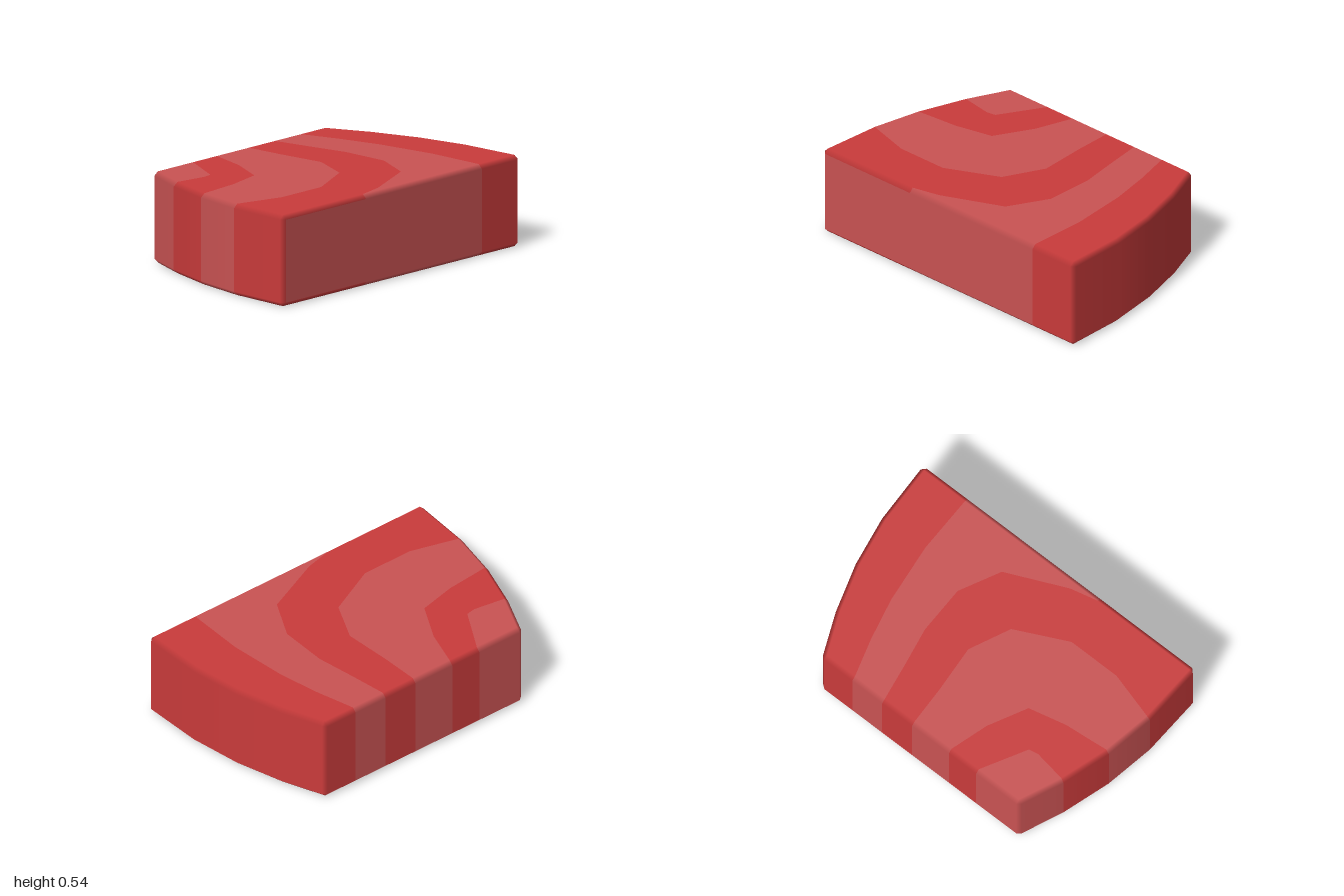
import * as THREE from 'three';

const HEIGHT = 0.54, BEVEL = 0.025;

export function createModel() {
  const group = new THREE.Group();
  group.name = 'filletSlice';
  const flesh = new THREE.MeshStandardMaterial({ color: 0xca3b3b });
  flesh.name = 'red flesh';
  const marbling = new THREE.MeshStandardMaterial({ color: 0xca5353 });
  marbling.name = 'pale marbling';

  const addMesh = (name, geometry, material) => {
    const mesh = new THREE.Mesh(geometry, material);
    mesh.name = name;
    group.add(mesh);
  };

  // Outline in plan (x, z): curved back, straight right, curved front, straight left
  const arc = [[-0.62, 0.73], [-0.37, 0.837], [-0.07, 0.93], [0.24, 0.985], [0.615, 1]];
  const back = arc.map(([x, z]) => [x, -z]);
  const right = [-0.975, -0.675, 0.3, 0.975].map((z) => [0.64, z]);
  const front = [...arc].reverse();
  const left = [0.705, 0.41, 0.21, -0.06, -0.28, -0.5, -0.705].map((z) => [-0.64, z]);

  // Each outline point carries its outward normal and its bevel-inset position
  const ring = [];
  for (const side of [back, right, front, left]) {
    side.forEach(([x, z], i) => {
      const a = side[Math.max(i - 1, 0)], b = side[Math.min(i + 1, side.length - 1)];
      const dx = b[0] - a[0], dz = b[1] - a[1], len = Math.hypot(dx, dz);
      const nx = dz / len, nz = -dx / len;
      ring.push({ x, z, nx, nz, inset: [x - nx * BEVEL, z - nz * BEVEL] });
    });
  }

  // Walls and bevels, one strip per outline segment, sorted by colour
  const paleWalls = [6, 7, 10, 12, 13, 14, 16, 18];
  const strips = { flesh: { pos: [], nor: [] }, marbling: { pos: [], nor: [] } };
  const levels = [
    (p) => [[p.inset[0], 0, p.inset[1]], [0, -1, 0]],
    (p) => [[p.x, BEVEL, p.z], [p.nx, 0, p.nz]],
    (p) => [[p.x, HEIGHT - BEVEL, p.z], [p.nx, 0, p.nz]],
    (p) => [[p.inset[0], HEIGHT, p.inset[1]], [0, 1, 0]],
  ];
  ring.forEach((p, i) => {
    const q = ring[(i + 1) % ring.length];
    for (let k = 0; k < 3; k++) {
      const pale = paleWalls.includes(i) && !(i === 7 && k !== 1);
      const out = pale ? strips.marbling : strips.flesh;
      const lo = levels[k], hi = levels[k + 1];
      for (const [pos, nor] of [lo(p), hi(p), hi(q), lo(p), hi(q), lo(q)]) {
        out.pos.push(...pos);
        out.nor.push(...nor);
      }
    }
  });
  const stripGeometry = ({ pos, nor }) => {
    const g = new THREE.BufferGeometry();
    g.setAttribute('position', new THREE.Float32BufferAttribute(pos, 3));
    g.setAttribute('normal', new THREE.Float32BufferAttribute(nor, 3));
    return g;
  };
  addMesh('fleshSides', stripGeometry(strips.flesh), flesh);
  addMesh('marblingSides', stripGeometry(strips.marbling), marbling);

  // Inner points of the grain lines, each starting at the left edge
  const A = [[-0.38, -0.57], [-0.12, -0.63], [0.25, -0.675]];
  const B = [[-0.38, -0.32], [-0.14, -0.365], [0.16, -0.365], [0.41, -0.24], [0.575, 0.13]];
  const C = [[-0.38, -0.07], [-0.08, -0.095], [0.17, 0.02], [0.325, 0.34], [0.325, 0.67]];
  const D = [[-0.38, 0.28], [-0.145, 0.4], [-0.09, 0.635], [-0.075, 0.8]];
  const E = [[-0.34, 0.56], [-0.33, 0.62]];
  const edge = (...ids) => ids.map((i) => ring[i].inset);
  const rev = (line) => [...line].reverse();

  // Grain bands from the back to the front left corner
  const bands = [
    [...edge(0, 1, 2, 3, 4, 5, 6), ...rev(A), ...edge(19, 20)],
    [...edge(19), ...A, ...edge(6, 7), ...rev(B), ...edge(18)],
    [...edge(18), ...B, ...edge(7, 8, 9, 10), ...rev(C), ...edge(17)],
    [...edge(17), ...C, ...edge(10, 11), ...rev(D), ...edge(16)],
    [...edge(16), ...D, ...edge(11, 12), ...rev(E), ...edge(15)],
    [...edge(15), ...E, ...edge(12, 13, 14)],
  ];
  const cap = (points, sign) => new THREE.ShapeGeometry(
    new THREE.Shape(points.map(([x, z]) => new THREE.Vector2(x, -sign * z))),
  ).rotateX(-sign * Math.PI / 2);

  bands.forEach((points, i) => {
    const material = i % 2 ? marbling : flesh;
    addMesh(`topBand${i + 1}`, cap(points, 1).translate(0, HEIGHT, 0), material);
    addMesh(`bottomBand${i + 1}`, cap(points, -1), material);
  });
  return group;
}
